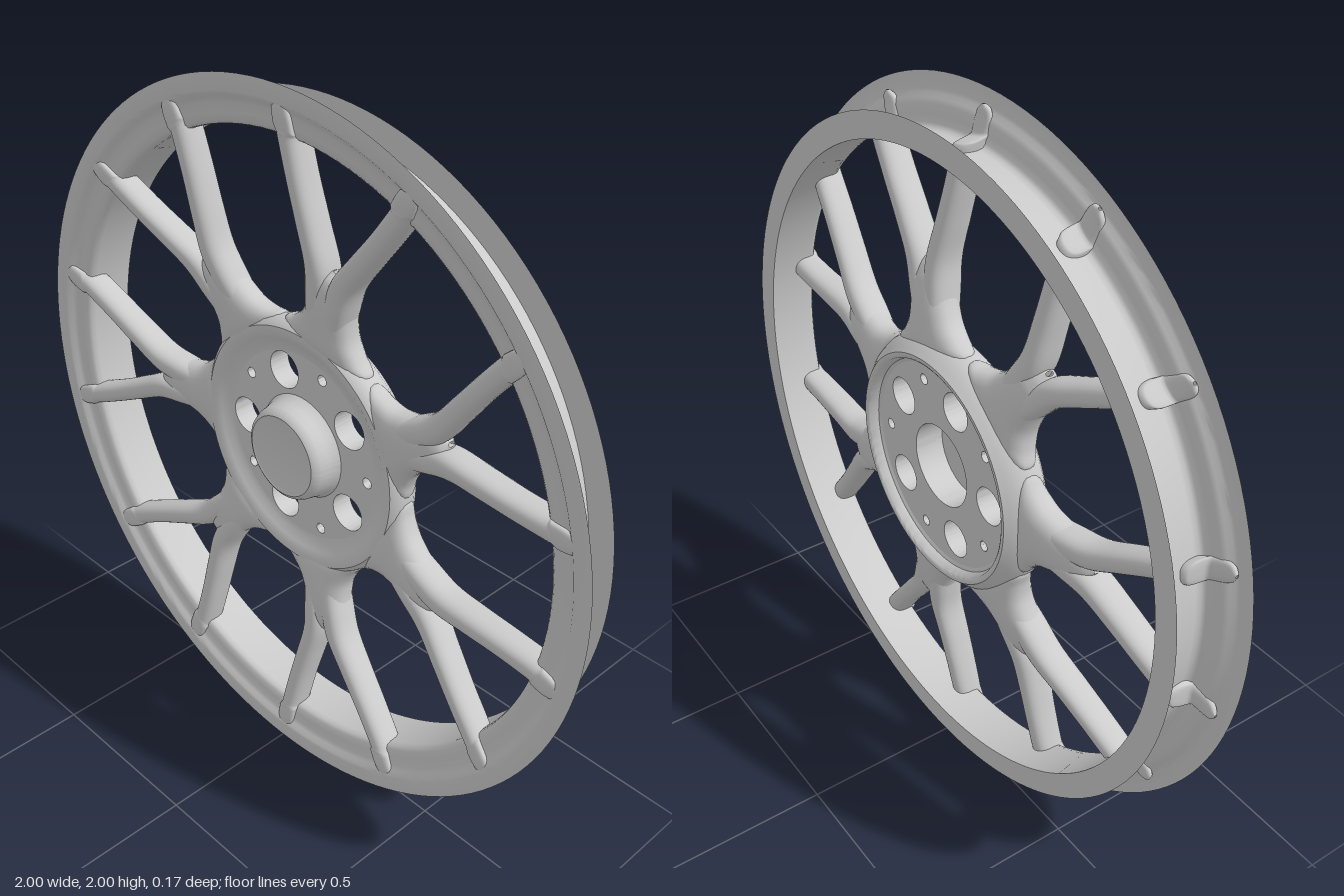
import * as THREE from 'three';
import { mergeVertices, toCreasedNormals } from 'three/addons/utils/BufferGeometryUtils.js';

const material = new THREE.MeshStandardMaterial({ color: 0xcccccc, side: THREE.DoubleSide });

function part(name, geometry, parent) {
  const mesh = new THREE.Mesh(geometry, material);
  mesh.name = name;
  parent.add(mesh);
  return mesh;
}

// Ring turned about the z axis from [radius, z] pairs
function turned(profile, crease = 0.7) {
  const points = profile.map(([r, z]) => new THREE.Vector2(r, z));
  const g = new THREE.LatheGeometry(points, 140).rotateX(Math.PI / 2);
  return toCreasedNormals(g, crease);
}

// Smooth bar along +y; sections are [radius, sideways offset, half width, back z, front z]
function bar(sections, steps, sides = 28) {
  const path = new THREE.CatmullRomCurve3(sections.map(s => new THREE.Vector3(s[0], s[1], s[2])));
  const depth = new THREE.CatmullRomCurve3(sections.map(s => new THREE.Vector3(s[3], s[4], 0)));
  const pos = [], index = [];
  const round = v => Math.sign(v) * Math.abs(v) ** 0.8;
  for (let i = 0; i <= steps; i++) {
    const p = path.getPoint(i / steps), d = depth.getPoint(i / steps);
    for (let j = 0; j < sides; j++) {
      const a = (j / sides) * Math.PI * 2;
      pos.push(p.y + p.z * round(Math.cos(a)), p.x,
        (d.x + d.y) / 2 + ((d.y - d.x) / 2) * round(Math.sin(a)));
      if (i < steps) {
        const b = i * sides + j, n = i * sides + ((j + 1) % sides);
        index.push(b, b + sides, n, n, b + sides, n + sides);
      }
    }
  }
  const g = new THREE.BufferGeometry();
  g.setAttribute('position', new THREE.Float32BufferAttribute(pos, 3));
  g.setIndex(index);
  g.computeVertexNormals();
  return g;
}

function circleHole(x, y, r) {
  const path = new THREE.Path();
  path.absarc(x, y, r, 0, Math.PI * 2, true);
  return path;
}

export function createModel() {
  const model = new THREE.Group();
  model.name = 'wheel';
  const wheel = new THREE.Group();
  wheel.name = 'wheelBody';
  wheel.position.y = 1;
  model.add(wheel);

  // Rim: one open sheet with flat front flange, shallow gutter, barrel and flat rear flange
  part('rim', turned([
    [1.0, 0.087], [0.957, 0.087], [0.948, 0.084], [0.938, 0.075], [0.925, 0.069], [0.9, 0.066],
    [0.88, 0.063], [0.871, 0.056], [0.868, 0.042], [0.868, -0.077], [0.938, -0.077],
  ]), wheel);

  // Seven forked spokes
  const trunk = bar([
    [0.3, 0, 0.13, -0.045, 0.0], [0.332, 0, 0.152, -0.06, 0.03], [0.36, 0, 0.12, -0.062, 0.039],
    [0.4, 0, 0.088, -0.058, 0.044], [0.44, 0, 0.074, -0.053, 0.048], [0.48, 0, 0.066, -0.046, 0.05],
    [0.52, 0, 0.054, -0.036, 0.049], [0.55, 0, 0.034, -0.02, 0.04], [0.57, 0, 0.006, 0.0, 0.02],
  ], 36);
  const branch = side => bar([
    [0.4, 0.028 * side, 0.036, -0.048, 0.038], [0.48, 0.034 * side, 0.037, -0.043, 0.052],
    [0.56, 0.046 * side, 0.038, -0.034, 0.06], [0.66, 0.093 * side, 0.036, -0.022, 0.068],
    [0.76, 0.143 * side, 0.034, -0.012, 0.075], [0.86, 0.188 * side, 0.034, 0.0, 0.082],
    [0.872, 0.192 * side, 0.033, 0.055, 0.083], [0.91, 0.204 * side, 0.03, 0.064, 0.086],
    [0.93, 0.209 * side, 0.022, 0.066, 0.085], [0.942, 0.212 * side, 0.004, 0.07, 0.078],
  ], 54);
  const left = branch(1), right = branch(-1);
  for (let i = 0; i < 7; i++) {
    const spoke = new THREE.Group();
    spoke.name = 'spoke' + (i + 1);
    spoke.rotation.z = Math.PI / 2 + (i * Math.PI * 2) / 7 + Math.PI / 14;
    spoke.rotation.z = Math.PI / 2 + (i * Math.PI * 2) / 7;
    part('spokeTrunk', trunk, spoke);
    part('spokeBranchLeft', left, spoke);
    part('spokeBranchRight', right, spoke);
    wheel.add(spoke);
  }

  // Hub plate with centre bore, five bolt holes and five small holes between them
  const plate = new THREE.Shape();
  plate.absarc(0, 0, 0.3, 0, Math.PI * 2, false);
  plate.holes.push(circleHole(0, 0, 0.118));
  for (let i = 0; i < 5; i++) {
    const a = Math.PI + (i * Math.PI * 2) / 5, b = a + Math.PI / 5;
    plate.holes.push(circleHole(Math.cos(a) * 0.216, Math.sin(a) * 0.216, 0.053));
    plate.holes.push(circleHole(Math.cos(b) * 0.243, Math.sin(b) * 0.243, 0.015));
  }
  const plateGeometry = new THREE.ExtrudeGeometry(plate, { depth: 0.063, bevelEnabled: false, curveSegments: 40 });
  plateGeometry.translate(0, 0, -0.055);
  plateGeometry.deleteAttribute('normal');
  plateGeometry.deleteAttribute('uv');
  part('hubPlate', toCreasedNormals(mergeVertices(plateGeometry), 0.6), wheel);

  // Dished hub edge with a raised mounting rim at the back
  part('hubEdge', turned([
    [0.28, -0.05], [0.3, -0.06], [0.308, -0.084], [0.314, -0.088], [0.324, -0.088], [0.335, -0.076],
    [0.348, -0.062], [0.36, -0.042], [0.367, -0.018], [0.366, 0.004], [0.36, 0.022],
    [0.347, 0.033], [0.33, 0.033], [0.31, 0.023], [0.29, 0.012], [0.272, 0.008],
  ]), wheel);

  // Centre cap with a rounded edge, closing the bore at the front
  part('centreCap', turned([
    [0, 0.03], [0.119, 0.03], [0.119, 0.006], [0.15, 0.006], [0.142, 0.018], [0.136, 0.04], [0.132, 0.062],
    [0.125, 0.077], [0.115, 0.083], [0.106, 0.08], [0, 0.08],
  ]), wheel);

  return model;
}
